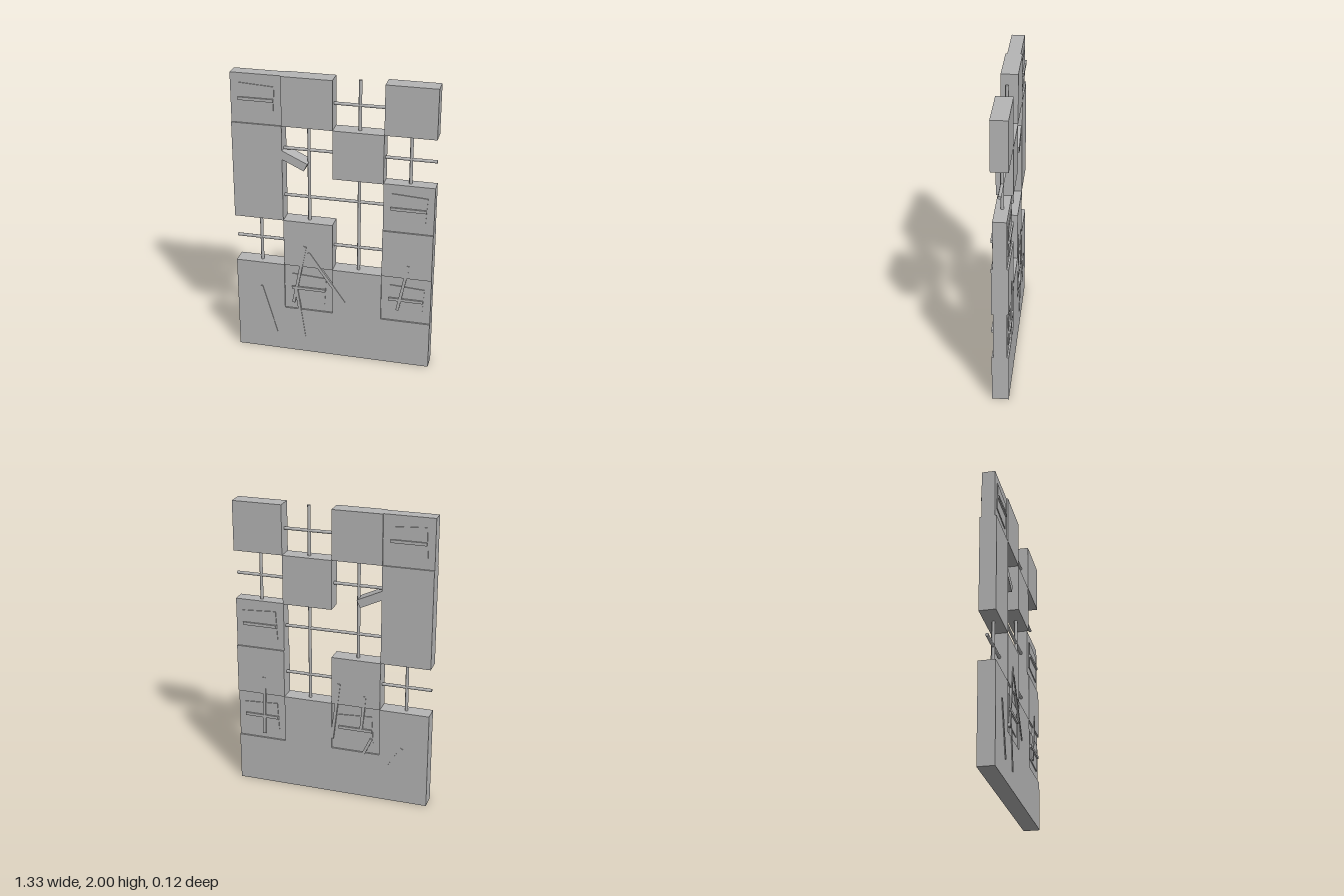
import * as THREE from 'three';

const CELL = 1 / 3;

// Rows from top to bottom: # solid block, p recessed panel, + exposed rebar
const LAYOUT = ['p#+#', '#+#+', '#++p', '+#+#', '#p#p', '####'];

export function createModel() {
  const concrete = new THREE.MeshStandardMaterial({ color: 0xb5b5b5 });
  concrete.name = 'concreteGrey';
  const wall = new THREE.Group();
  wall.name = 'ruinedWall';

  const box = (name, w, h, d, x, y, z = 0, angle = 0) => {
    const mesh = new THREE.Mesh(new THREE.BoxGeometry(w, h, d), concrete);
    mesh.name = name;
    mesh.position.set(x, y, z);
    mesh.rotation.z = angle;
    wall.add(mesh);
  };

  const rodGeometry = new THREE.CylinderGeometry(0.011, 0.011, CELL, 8);
  const rod = (name, x, y, angle) => {
    const mesh = new THREE.Mesh(rodGeometry, concrete);
    mesh.name = name;
    mesh.position.set(x, y, 0);
    mesh.rotation.z = angle;
    wall.add(mesh);
  };

  // Wall cells
  LAYOUT.forEach((line, row) => [...line].forEach((kind, col) => {
    const x = (col - 1.5) * CELL;
    const y = 2 - (row + 0.5) * CELL;
    if (kind === '#') {
      box('wallBlock', CELL, CELL, 0.11, x, y);
    } else if (kind === 'p') {
      // Thinner block with a slightly crooked plate and a crossbar on both faces
      box('recessedBlock', CELL, CELL, 0.088, x, y);
      box('crookedPlate', 0.235, 0.195, 0.1, x, y, 0, -0.06);
      box('panelBar', 0.232, 0.02, 0.122, x, y);
    } else {
      rod('verticalRebar', x, y, 0);
      rod('horizontalRebar', x, y, Math.PI / 2);
    }
  }));

  // Broken chunk hanging in the gap
  box('brokenChunk', 0.22, 0.056, 0.1, -0.278, 1.439, 0, -0.44);

  // Slanted strips lying on a face, given by their end points
  const strips = (name, side, list) => list.forEach(([x1, y1, x2, y2]) => {
    const length = Math.hypot(x2 - x1, y2 - y1);
    box(name, length, 0.02, 0.018, (x1 + x2) / 2, (y1 + y2) / 2, side * 0.051,
      Math.atan2(y2 - y1, x2 - x1));
  });
  strips('frontStrip', 1, [
    [-0.498, 0.485, -0.399, 0.13],
    [-0.187, 0.822, -0.272, 0.385],
    [-0.166, 0.777, 0.08, 0.425],
    [-0.25, 0.48, -0.2, 0.12],
    [0.511, 0.761, 0.444, 0.42],
  ]);
  strips('backStrip', -1, [
    [0.477, 0.79, 0.484, 0.37],
    [-0.052, 0.816, -0.003, 0.41],
    [-0.229, 0.75, -0.207, 0.51],
    [-0.278, 0.444, -0.137, 0.139],
    [-0.49, 0.405, -0.384, 0.23],
  ]);

  return wall;
}
